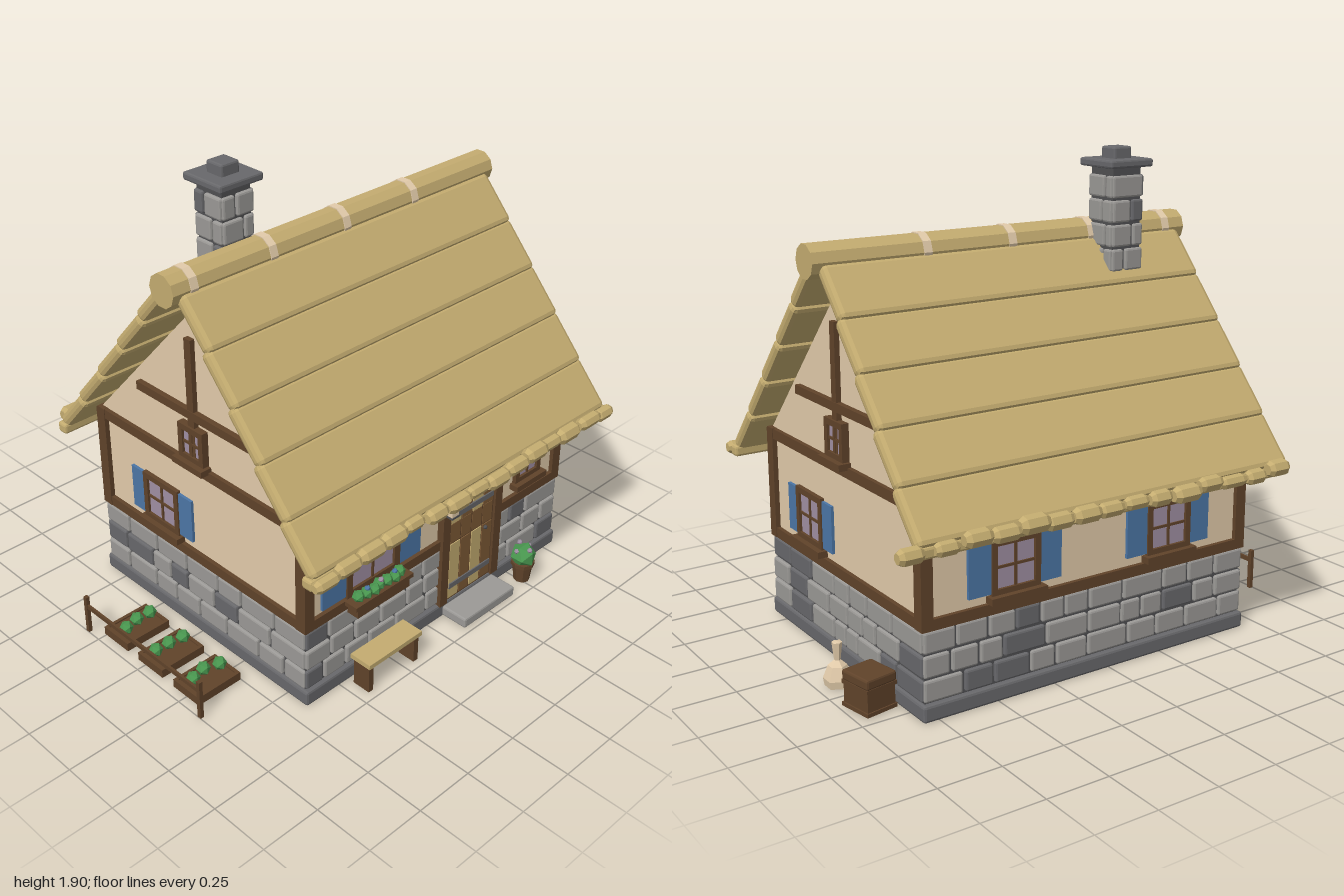
import * as THREE from 'three';
import { RoundedBoxGeometry } from 'three/addons/geometries/RoundedBoxGeometry.js';

const mat = (name, color) => Object.assign(new THREE.MeshStandardMaterial({ color }), { name });
const straw = mat('straw', 0xc4ac70), plaster = mat('plaster', 0xe2cbaa), timber = mat('timber', 0x60432a);
const plank = mat('plank', 0x7d5a36), stone = mat('stone', 0x9b9996), darkStone = mat('dark stone', 0x68686b);
const grout = mat('grout', 0x505052), blue = mat('blue paint', 0x4c76a6);
const glass = mat('window glass', 0xa08fa3), green = mat('leaf green', 0x4a9850);

let seed = 7;
const rnd = () => (seed = (seed * 16807) % 2147483647) / 2147483647;
const CX = 0.07; // middle of the house in x

function add(parent, name, geo, material, x = 0, y = 0, z = 0) {
  const m = new THREE.Mesh(geo, material);
  m.name = name;
  m.position.set(x, y, z);
  parent.add(m);
  return m;
}
function flat(geo) {
  const g = geo.index ? geo.toNonIndexed() : geo;
  g.computeVertexNormals();
  return g;
}
const box = (p, name, m, w, h, d, x, y, z) => add(p, name, new THREE.BoxGeometry(w, h, d), m, x, y, z);
// Box with chamfered edges
const block = (p, name, m, w, h, d, r, x, y, z) => add(p, name, flat(new RoundedBoxGeometry(w, h, d, 1, r)), m, x, y, z);
function group(p, name, x = 0, y = 0, z = 0, ry = 0) {
  const g = new THREE.Group();
  g.name = name;
  g.position.set(x, y, z);
  g.rotation.y = ry;
  p.add(g);
  return g;
}
const lathe = (pts, sides) => flat(new THREE.LatheGeometry(pts.map(p => new THREE.Vector2(...p)), sides));
const bush = (p, r, x, y, z, m = green) => add(p, 'leaves', flat(new THREE.IcosahedronGeometry(r, 0)), m, x, y, z);

// Courses of staggered blocks on a wall facing +z
function masonry(p, len, y0, rows, rowH, avg, depth) {
  for (let r = 0; r < rows; r++) {
    let x = -len / 2;
    while (x < len / 2 - 0.005) {
      let w = avg * (0.65 + rnd() * 0.7);
      if (len / 2 - x - w < avg * 0.5) w = len / 2 - x;
      const m = rnd() < 0.86 ? stone : darkStone;
      block(p, 'stoneBlock', m, w - 0.01, rowH - 0.01, depth + rnd() * 0.008, 0.008, x + w / 2, y0 + (r + 0.5) * rowH, 0);
      x += w;
    }
  }
}

// Window facing +z, centred on its frame
function windowUnit(p, name, x, y, z, ry, w, h, shutterW = 0, sill = true) {
  const g = group(p, name, x, y, z, ry), t = w > 0.25 ? 0.03 : 0.024;
  box(g, 'glass', glass, w - t, h - t, 0.012, 0, 0, 0.01);
  for (const s of [-1, 1]) {
    box(g, 'frameSide', timber, t, h, 0.03, s * (w - t) / 2, 0, 0.012);
    box(g, 'frameRail', timber, w, t, 0.03, 0, s * (h - t) / 2, 0.012);
    if (shutterW) box(g, 'shutter', blue, shutterW, h - 0.02, 0.018, s * (w + shutterW) / 2, 0, 0.012);
  }
  box(g, 'mullion', timber, 0.01, h, 0.02, 0, 0, 0.012);
  box(g, 'transom', timber, w, 0.01, 0.02, 0, 0, 0.012);
  if (sill) box(g, 'sill', timber, w + 0.03, 0.026, 0.05, 0, -h / 2 - 0.01, 0.025);
}

function walls(p) {
  block(p, 'foundation', darkStone, 1.49, 0.065, 1.22, 0.01, CX, 0.0325, 0);
  box(p, 'stoneCore', grout, 1.46, 0.28, 1.175, CX, 0.2, 0);
  for (const s of [0, 1]) {
    const dir = s ? -1 : 1;
    masonry(group(p, 'longStoneWall', CX, 0, dir * 0.585, s * Math.PI), 1.48, 0.066, 3, 0.092, 0.145, 0.028);
    masonry(group(p, 'endStoneWall', CX + dir * 0.73, 0, 0, dir * Math.PI / 2), 1.19, 0.066, 3, 0.092, 0.145, 0.024);
  }
  // plaster body with gables
  const profile = [[-0.585, 0.33], [0.585, 0.33], [0.585, 0.8], [0, 1.43], [-0.585, 0.8]];
  const shape = new THREE.Shape(profile.map(a => new THREE.Vector2(...a)));
  const body = new THREE.ExtrudeGeometry(shape, { depth: 1.45, bevelEnabled: false });
  add(p, 'plasterBody', body, plaster, CX - 0.725).rotation.y = Math.PI / 2;
  for (const s of [-1, 1]) {
    for (const y of [0.36, 0.778]) {
      box(p, 'longBeam', timber, 1.48, 0.042, 0.04, CX, y, s * 0.582);
      box(p, 'endBeam', timber, 0.04, 0.042, 1.2, CX + s * 0.722, y, 0);
    }
    for (const t of [-1, 1]) box(p, 'cornerPost', timber, 0.048, 0.46, 0.05, CX + s * 0.721, 0.57, t * 0.577);
    box(p, 'gablePost', timber, 0.03, 0.53, 0.036, CX + s * 0.731, 1.065, 0);
    box(p, 'gableBeam', timber, 0.034, 0.035, 0.635, CX + s * 0.731, 1.013, 0);
    const ry = s * Math.PI / 2;
    windowUnit(p, 'gableWindow', CX + s * 0.728, 0.888, 0, ry, 0.14, 0.15);
    windowUnit(p, 'sideWindow', CX + s * 0.716, 0.51, s > 0 ? 0.255 : -0.22, ry, 0.21, 0.21, 0.078);
  }
  for (const x of [0.42, -0.285]) windowUnit(p, 'backWindow', x, 0.51, -0.576, Math.PI, 0.21, 0.21, 0.095);
  windowUnit(p, 'frontWindow', -0.317, 0.507, 0.576, 0, 0.285, 0.245, 0.122, false);
  windowUnit(p, 'smallWindow', 0.6, 0.525, 0.576, 0, 0.16, 0.18);
}

function door(p) {
  const g = group(p, 'door', 0.241, 0, 0.59);
  box(g, 'doorBack', timber, 0.3, 0.57, 0.03, 0, 0.35, 0);
  for (let i = 0; i < 4; i++) {
    const x = -0.096 + i * 0.065;
    for (const [y, h] of [[0.207, 0.265], [0.525, 0.17]])
      box(g, 'doorPlank', i % 2 ? plank : straw, 0.058, h, 0.03, x, y, 0.004);
    box(g, 'doorMidPlank', plank, 0.058, 0.09, 0.03, x, 0.39, 0.002);
  }
  for (const y of [0.135, 0.475]) box(g, 'ironBand', darkStone, 0.25, 0.024, 0.012, 0, y, 0.018);
  for (const s of [-1, 1]) box(g, 'doorPost', timber, 0.043, 0.6, 0.06, s * 0.158, 0.36, -0.004);
  box(g, 'doorLintel', timber, 0.36, 0.045, 0.065, 0, 0.648, -0.002);
  add(g, 'doorKnob', flat(new THREE.IcosahedronGeometry(0.01, 0)), grout, 0.085, 0.325, 0.022);
  block(g, 'doorStep', stone, 0.31, 0.045, 0.14, 0.008, 0, 0.028, 0.07);
}

function roof(p) {
  const tilt = 0.84, len = 0.228, th = 0.055, lean = 1.26;
  const c = Math.cos(tilt), n = Math.sin(tilt);
  for (const s of [0, 1]) {
    const g = group(p, 'roofSlope', 0.07, 0, 0, s * Math.PI);
    // overlapping thatch courses with heavy chamfers
    for (let i = 0; i < 5; i++) {
      const y = 1.385 - 0.167 * i, z = 0.083 + (1.55 - y) / lean;
      block(g, 'thatchCourse', straw, 1.625 + 0.01 * i, th, len, 0.02, 0,
        y + n * len / 2 - c * th / 2, z - c * len / 2 - n * th / 2).rotation.x = tilt;
    }
    block(g, 'eaveRoll', straw, 1.69, 0.045, 0.05, 0.01, 0, 0.685, 0.713);
    // ragged bundles along the eave, the last one jutting out at the right end
    for (let i = 0; i < 15; i++) {
      const r = 0.025 + rnd() * 0.011, l = 0.045 + rnd() * 0.02;
      const geo = lathe([[0, -l], [r * 0.65, -l], [r, -l * 0.65], [r, l * 0.65], [r * 0.65, l], [0, l]], 7);
      const x = -0.84 + i * 0.114 + (s && i === 0 ? -0.03 : 0) + (s ? 0 : 0.05);
      const b = add(g, 'eaveBundle', geo, straw, x, 0.69 + rnd() * 0.022, 0.738 + rnd() * 0.022);
      b.rotation.z = Math.PI / 2;
    }
  }
  const ridge = (name, m, r, l, x) => {
    add(p, name, flat(new THREE.CylinderGeometry(r, r, l, 10)), m, x, 1.555, 0).rotation.z = Math.PI / 2;
  };
  ridge('ridgeRoll', straw, 0.066, 1.69, 0.07);
  for (const x of [-0.68, -0.305, 0.07, 0.445]) ridge('ridgeTie', plaster, 0.07, 0.034, x);
}

function chimney(p) {
  const g = group(p, 'chimney', -0.39, 0, -0.105);
  box(g, 'chimneyCore', grout, 0.135, 0.6, 0.135, 0, 1.53, 0);
  for (let k = 0; k < 4; k++) {
    const a = k * Math.PI / 2;
    masonry(group(g, 'chimneyFace', Math.sin(a) * 0.068, 0, Math.cos(a) * 0.068, a), 0.155, 1.23, 6, 0.095, 0.085, 0.022);
  }
  block(g, 'chimneyCap', darkStone, 0.205, 0.032, 0.205, 0.008, 0, 1.842, 0);
  block(g, 'chimneyPot', darkStone, 0.085, 0.055, 0.085, 0.008, 0, 1.876, 0);
}

function yard(p) {
  // window flower box
  const fb = group(p, 'flowerBox', -0.315, 0, 0.628);
  box(fb, 'flowerTrough', timber, 0.28, 0.055, 0.055, 0, 0.35, 0);
  box(fb, 'flowerTroughRim', timber, 0.31, 0.018, 0.068, 0, 0.372, 0);
  for (let i = 0; i < 7; i++) {
    bush(fb, 0.026, -0.111 + i * 0.037, 0.397, 0.006 * (i % 3));
    if (i % 2) bush(fb, 0.012, -0.111 + i * 0.037, 0.42, 0.01, i % 4 === 1 ? blue : glass);
  }
  // bench
  const bench = group(p, 'bench', -0.315, 0, 0.675);
  box(bench, 'benchSeat', straw, 0.29, 0.02, 0.1, 0, 0.13, 0);
  for (const s of [-1, 1]) box(bench, 'benchLeg', timber, 0.024, 0.12, 0.08, s * 0.125, 0.06, 0);
  // potted plant
  const pot = group(p, 'pottedPlant', 0.515, 0, 0.675);
  add(pot, 'pot', lathe([[0, 0], [0.034, 0], [0.043, 0.075], [0.05, 0.075], [0.05, 0.092], [0, 0.092]], 8), timber);
  bush(pot, 0.056, 0, 0.12, 0);
  for (let i = 0; i < 4; i++) bush(pot, 0.012, Math.cos(i * 1.7) * 0.035, 0.15 + (i % 2) * 0.012, Math.sin(i * 1.7) * 0.035, glass);
  // lantern on its bracket
  const lan = group(p, 'lantern', 0.043, 0, 0.667);
  box(lan, 'lanternArm', timber, 0.014, 0.014, 0.1, 0, 0.663, -0.035);
  box(lan, 'lanternHook', grout, 0.006, 0.04, 0.006, 0, 0.645, 0);
  box(lan, 'lanternGlass', plaster, 0.038, 0.065, 0.038, 0, 0.585, 0);
  add(lan, 'lanternTop', flat(new THREE.ConeGeometry(0.034, 0.022, 4)), grout, 0, 0.628, 0).rotation.y = Math.PI / 4;
  box(lan, 'lanternBase', grout, 0.044, 0.008, 0.044, 0, 0.55, 0);
  // garden beds and fence
  for (const z of [-0.175, 0.04, 0.255]) {
    const bed = group(p, 'gardenBed', -0.863, 0, z);
    box(bed, 'soil', timber, 0.19, 0.02, 0.13, 0, 0.03, 0);
    for (const s of [-1, 1]) {
      box(bed, 'bedSide', timber, 0.208, 0.036, 0.014, 0, 0.028, s * 0.067);
      box(bed, 'bedEnd', timber, 0.014, 0.036, 0.148, s * 0.097, 0.028, 0);
    }
    for (const i of [-1, 0, 1]) bush(bed, 0.029, i * 0.063, 0.073, (rnd() - 0.5) * 0.04);
  }
  for (const z of [-0.32, 0.37]) box(p, 'fencePost', timber, 0.016, 0.17, 0.018, -0.992, 0.085, z);
  box(p, 'fenceRail', timber, 0.01, 0.018, 0.7, -0.992, 0.125, 0.025);
  // chest
  const chest = group(p, 'chest', 0.905, 0, -0.38, 0.18);
  box(chest, 'chestBody', timber, 0.125, 0.1, 0.135, 0, 0.055, 0);
  block(chest, 'chestLid', timber, 0.135, 0.04, 0.145, 0.008, 0, 0.125, 0);
  for (const y of [0.012, 0.1]) box(chest, 'chestBand', timber, 0.136, 0.015, 0.146, 0, y, 0);
  // tied sack
  const sack = lathe([[0, 0], [0.05, 0.005], [0.055, 0.035], [0.036, 0.085], [0.012, 0.105], [0.02, 0.175], [0, 0.178]], 6);
  add(p, 'sack', sack, plaster, 0.92, 0, -0.165);
}

export function createModel() {
  const house = new THREE.Group();
  house.name = 'cottage';
  for (const part of [walls, door, roof, chimney, yard]) part(group(house, part.name));
  return house;
}
